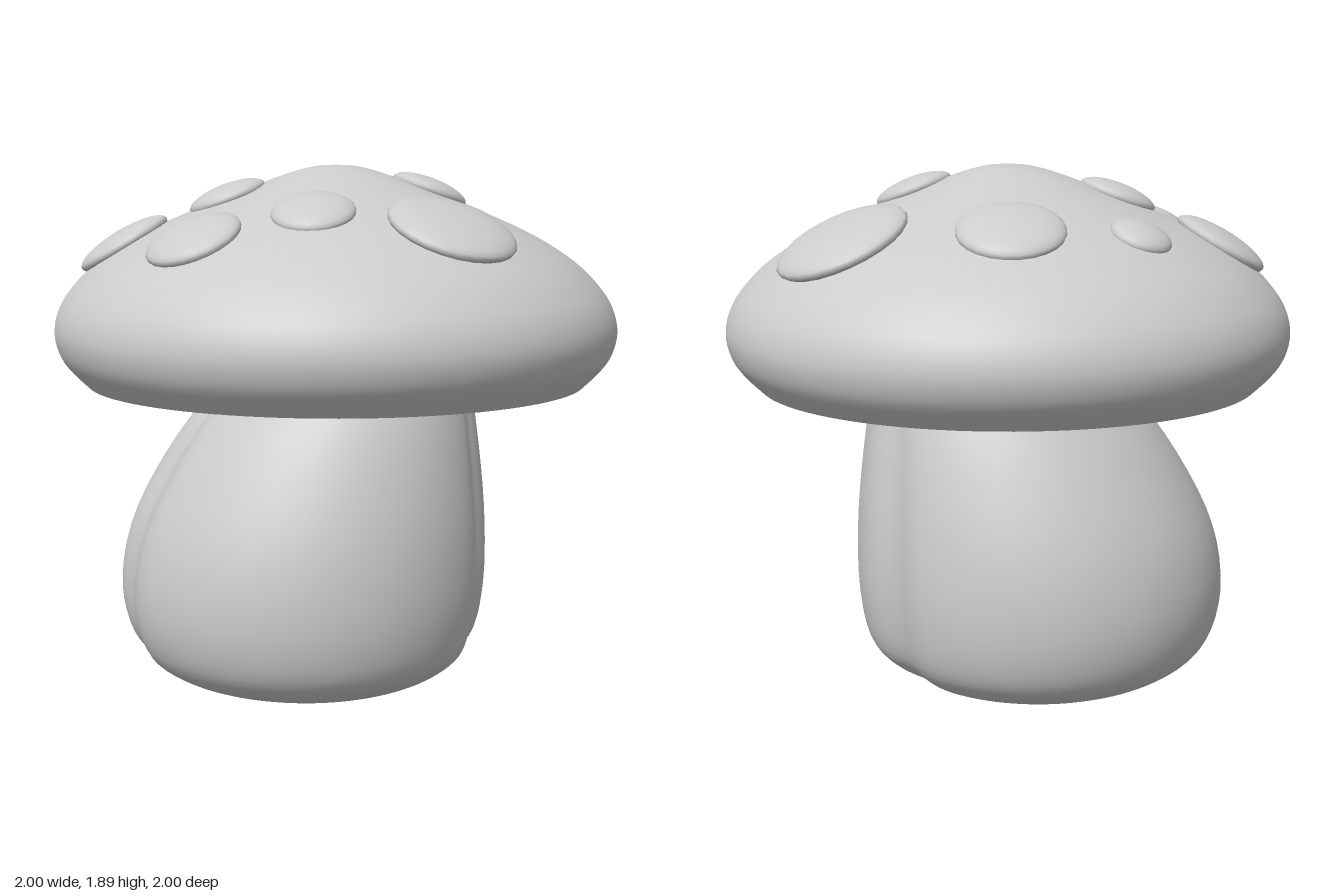
import * as THREE from 'three';

const grey = new THREE.MeshStandardMaterial({ color: 0xcccccc });
const greyThin = new THREE.MeshStandardMaterial({ color: 0xcccccc, side: THREE.DoubleSide });

// Cap outline from the rim up to the crown: radius, height
const capCurve = new THREE.SplineCurve([
  [0.89, 1.125], [0.95, 1.185], [0.985, 1.24], [1, 1.31], [0.985, 1.385], [0.94, 1.46],
  [0.85, 1.55], [0.7, 1.645], [0.5, 1.735], [0.32, 1.805], [0.18, 1.857], [0.08, 1.884], [0, 1.89],
].map(([r, y]) => new THREE.Vector2(r, y)));

// Stem axis and thickness, bottom to top: x offset, height, radius
const stemCurve = new THREE.CatmullRomCurve3([
  [-0.08, 0, 0], [-0.08, 0.02, 0.25], [-0.1, 0.05, 0.43], [-0.11, 0.1, 0.545], [-0.115, 0.18, 0.625],
  [-0.12, 0.35, 0.667], [-0.1, 0.6, 0.65], [-0.035, 0.9, 0.557], [0.035, 1.12, 0.45],
  [0.09, 1.3, 0.33], [0.12, 1.43, 0.2], [0.13, 1.5, 0],
].map((p) => new THREE.Vector3(...p)));

// Lengthwise folds in the stem: angle, relative depth, angular width
const folds = [[0.3, 0.08, 0.13], [-0.77, 0.05, 0.16], [2.9, 0.06, 0.13]];

function foldFactor(angle) {
  let f = 1;
  for (const [at, depth, width] of folds) {
    const d = Math.atan2(Math.sin(angle - at), Math.cos(angle - at)) / width;
    f -= depth * Math.exp(-d * d);
  }
  return f;
}

function stemGeometry(rows = 48, sides = 96) {
  const pos = [], index = [];
  for (let i = 0; i <= rows; i++) {
    const p = stemCurve.getPoint(i / rows);
    for (let j = 0; j < sides; j++) {
      const a = (j / sides) * Math.PI * 2;
      const r = Math.max(p.z, 0) * foldFactor(a);
      pos.push(p.x + r * Math.cos(a), Math.max(p.y, 0), r * Math.sin(a));
      if (i === rows) continue;
      const k = i * sides + j, n = i * sides + ((j + 1) % sides);
      index.push(k, k + sides, n, n, k + sides, n + sides);
    }
  }
  const g = new THREE.BufferGeometry();
  g.setAttribute('position', new THREE.Float32BufferAttribute(pos, 3));
  g.setIndex(index);
  g.computeVertexNormals();
  return g;
}

// Height and outward slope of the cap at a given radius on its upper side
function capAt(radius) {
  let t = 1;
  while (t > 0.3 && capCurve.getPoint(t).x < radius) t -= 0.002;
  const tan = capCurve.getTangent(t);
  return { y: capCurve.getPoint(t).y, nr: tan.y, ny: -tan.x };
}

export function createModel() {
  const model = new THREE.Group();
  model.name = 'mushroom';

  const add = (name, geometry, material) => {
    const mesh = new THREE.Mesh(geometry, material);
    mesh.name = name;
    model.add(mesh);
    return mesh;
  };

  // Thin hollow cap and folded stem
  add('cap', new THREE.LatheGeometry(capCurve.getPoints(60), 96), greyThin);
  add('stem', stemGeometry(), grey);

  // Flattened spots lying on the cap: x, z, radius
  const spots = [
    [-0.07, -0.56, 0.18], [0.5, -0.46, 0.235], [-0.48, -0.41, 0.105],
    [-0.75, 0.02, 0.175], [-0.385, 0.05, 0.14], [0.335, -0.01, 0.14],
    [-0.5, 0.475, 0.165], [-0.11, 0.48, 0.14], [0.34, 0.52, 0.22],
  ];
  const spotGeometry = new THREE.SphereGeometry(1, 24, 16);
  const up = new THREE.Vector3(0, 1, 0);
  spots.forEach(([x, z, r], i) => {
    const d = Math.hypot(x, z);
    const { y, nr, ny } = capAt(d);
    const spot = add(`spot${i + 1}`, spotGeometry, grey);
    spot.position.set(x, y, z);
    spot.scale.set(r, 0.03 + r * 0.11, r);
    spot.quaternion.setFromUnitVectors(up, new THREE.Vector3((x / d) * nr, ny, (z / d) * nr).normalize());
  });

  return model;
}
